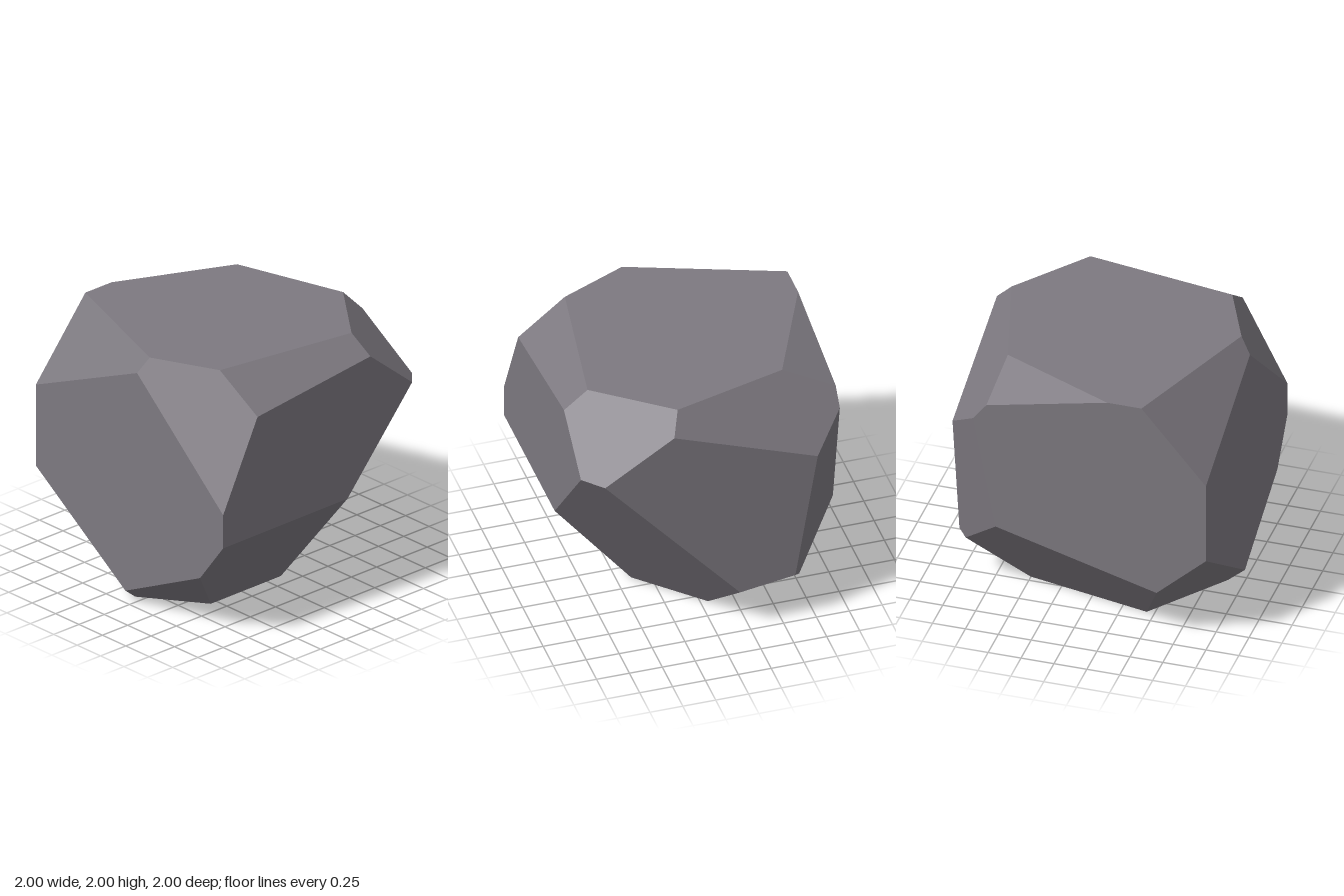
import * as THREE from 'three';

const V = (x, y, z) => new THREE.Vector3(x, y, z);
const CENTRE = V(0, 1, 0);

// Plane through three points, facing away from the middle of the rock
function outwardPlane(a, b, c) {
  const p = new THREE.Plane().setFromCoplanarPoints(V(...a), V(...b), V(...c));
  return p.distanceToPoint(CENTRE) > 0 ? p.negate() : p;
}

// Six sides of the surrounding block
const block = [
  [V(1, 0, 0), -1], [V(-1, 0, 0), -1],
  [V(0, 1, 0), -2], [V(0, -1, 0), 0],
  [V(0, 0, 1), -1], [V(0, 0, -1), -1],
].map(([n, d]) => new THREE.Plane(n, d));

// Chipped corners and edges, each given by three points on its cut
const cuts = [
  [[-1, 0.795, 1], [0.23, 0.8, 1], [0.14, 0, 0.39]],             // lower front
  [[0.23, 0.8, 1], [0.87, 1.53, 1], [1, 0.35, -0.17]],           // lower front, +x
  [[0.445, 2, 0.81], [0.87, 1.53, 1], [1, 1.85, 0.33]],          // upper front, +x
  [[-0.66, 1.74, 1], [0.465, 1.87, 1], [-0.69, 2, 0.635]],       // upper front
  [[-1, 1.06, 1], [-0.66, 1.74, 1], [-0.92, 2, 0.13]],           // upper front, -x
  [[0.87, 2, 0.27], [1, 1.85, 0.33], [1, 1.45, -0.76]],          // upper side, +x
  [[0.64, 2, -0.6], [-0.25, 2, -1], [0.67, 1.8, -1]],            // upper back
  [[-0.92, 2, 0.13], [-1, 1.89, 0.095], [-0.51, 2, -1]],         // upper back, -x
  [[-1, 0.47, 0.75], [-0.56, 0, 0.39], [-0.885, 0, -0.08]],      // lower front, -x
  [[1, 0.35, -0.17], [1, 0.415, -0.59], [0.58, 0, -0.06]],       // lower side, +x
  [[1, 1.45, -0.76], [1, 0.415, -0.59], [0.77, 1.68, -1]],       // back edge, +x
  [[0.595, 0.76, -1], [-0.63, 0.42, -1], [-0.44, 0, -0.645]],    // lower back
  [[-1, 0.77, -1], [-1, 0.1, -0.05], [-0.44, 0, -0.645]],        // lower back, -x
].map((points) => outwardPlane(...points));

// Keep the part of a polygon that lies behind a plane
function clip(polygon, plane) {
  const out = [];
  polygon.forEach((a, i) => {
    const b = polygon[(i + 1) % polygon.length];
    const da = plane.distanceToPoint(a);
    const db = plane.distanceToPoint(b);
    if (da <= 0) out.push(a);
    if ((da < 0 && db > 0) || (da > 0 && db < 0)) out.push(a.clone().lerp(b, da / (da - db)));
  });
  return out;
}

// Solid enclosed by a set of planes, one flat facet per plane
function facetedSolid(planes) {
  const positions = [];
  for (const plane of planes) {
    const n = plane.normal;
    const u = (Math.abs(n.y) > 0.9 ? V(1, 0, 0) : V(0, 1, 0)).cross(n).normalize();
    const v = n.clone().cross(u);
    const origin = plane.projectPoint(CENTRE, V(0, 0, 0));
    let polygon = [[-5, -5], [5, -5], [5, 5], [-5, 5]].map(([s, t]) =>
      origin.clone().addScaledVector(u, s).addScaledVector(v, t));
    for (const other of planes) if (other !== plane) polygon = clip(polygon, other);
    for (let i = 1; i < polygon.length - 1; i++) {
      for (const p of [polygon[0], polygon[i], polygon[i + 1]]) positions.push(p.x, p.y, p.z);
    }
  }
  const geometry = new THREE.BufferGeometry();
  geometry.setAttribute('position', new THREE.Float32BufferAttribute(positions, 3));
  geometry.computeVertexNormals();
  return geometry;
}

export function createModel() {
  const stone = new THREE.MeshStandardMaterial({ color: 0x7d7980 });
  stone.name = 'greyStone';
  stone.flatShading = true;

  const rock = new THREE.Mesh(facetedSolid([...block, ...cuts]), stone);
  rock.name = 'rock';

  const group = new THREE.Group();
  group.name = 'facetedRock';
  group.add(rock);
  return group;
}
